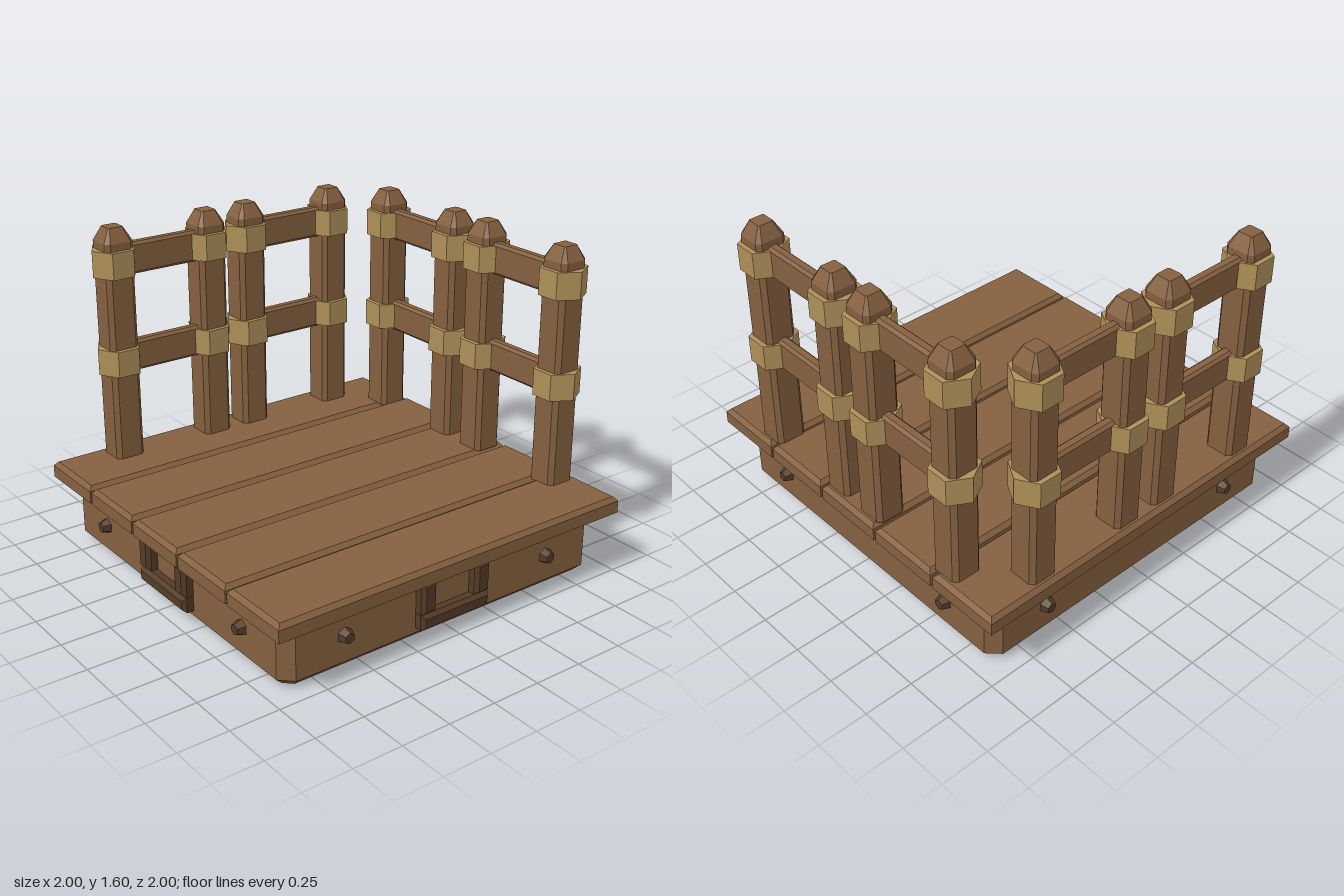
import * as THREE from 'three';

const wood = new THREE.MeshStandardMaterial({ color: 0x85603f });
wood.name = 'wood';
const darkWood = new THREE.MeshStandardMaterial({ color: 0x543a26 });
darkWood.name = 'darkWood';
const rope = new THREE.MeshStandardMaterial({ color: 0xae9058 });
rope.name = 'rope';

// Rectangle outline with corners cut by c, counter-clockwise from above
function outline(hx, hz, c) {
  if (!c) return [[hx, hz], [hx, -hz], [-hx, -hz], [-hx, hz]];
  return [[hx, hz - c], [hx, c - hz], [hx - c, -hz], [c - hx, -hz],
    [-hx, c - hz], [-hx, hz - c], [c - hx, hz], [hx - c, hz]];
}

// Closed flat-shaded solid through rings of [y, halfX, halfZ, cornerCut]
function loft(rings) {
  const loops = rings.map(([y, hx, hz, c]) => outline(hx, hz, c).map(([x, z]) => [x, y, z]));
  const n = loops[0].length;
  const pos = [];
  const tri = (a, b, c) => pos.push(...a, ...b, ...c);
  for (let r = 0; r < loops.length - 1; r++) {
    for (let i = 0; i < n; i++) {
      const j = (i + 1) % n;
      tri(loops[r][i], loops[r][j], loops[r + 1][j]);
      tri(loops[r][i], loops[r + 1][j], loops[r + 1][i]);
    }
  }
  const top = loops[loops.length - 1], bottom = loops[0];
  for (let i = 1; i < n - 1; i++) {
    tri(top[0], top[i], top[i + 1]);
    tri(bottom[0], bottom[i + 1], bottom[i]);
  }
  const g = new THREE.BufferGeometry();
  g.setAttribute('position', new THREE.Float32BufferAttribute(pos, 3));
  g.computeVertexNormals();
  return g;
}

// Flat-shaded six-sided cylinder
function hexagon(rTop, rBottom, h) {
  const g = new THREE.CylinderGeometry(rTop, rBottom, h, 6).toNonIndexed();
  g.computeVertexNormals();
  return g;
}

function add(parent, name, geometry, material, x = 0, y = 0, z = 0) {
  const mesh = new THREE.Mesh(geometry, material);
  mesh.name = name;
  mesh.position.set(x, y, z);
  parent.add(mesh);
  return mesh;
}

// Two railing panels along x, each with two posts and two rails
function makeFence(name) {
  const fence = new THREE.Group();
  fence.name = name;
  const post = loft([[0.395, 0.078, 0.078, 0.022], [1.53, 0.078, 0.078, 0.022], [1.6, 0.04, 0.04, 0.006]]);
  const band = hexagon(0.117, 0.117, 0.135).rotateY(Math.PI / 2);
  for (const [a, b] of [[-0.655, -0.125], [0.117, 0.648]]) {
    const half = (b - a) / 2;
    const rail = loft([[-half, 0.081, 0.03, 0.014], [half, 0.081, 0.03, 0.014]]).rotateZ(Math.PI / 2);
    for (const x of [a, b]) {
      add(fence, 'post', post, wood, x);
      for (const y of [0.918, 1.424]) add(fence, 'ropeBand', band, rope, x, y);
    }
    for (const y of [0.918, 1.424]) add(fence, 'rail', rail, wood, (a + b) / 2, y);
  }
  return fence;
}

// Raised block facing +z with a bevelled face
function block(w, h) {
  return loft([[0, w / 2, h / 2, 0], [0.04, w / 2, h / 2, 0],
    [0.06, w / 2 - 0.016, h / 2 - 0.016, 0]]).rotateX(Math.PI / 2);
}

export function createModel() {
  const model = new THREE.Group();
  model.name = 'railedPlatform';

  // Base with cut corners and a bevelled underside
  add(model, 'base', loft([[0, 0.88, 0.88, 0.04], [0.04, 0.92, 0.92, 0.06],
    [0.305, 0.92, 0.92, 0.06]]), wood);

  // Deck planks with bevelled top edges
  const plank = loft([[0.315, 0.194, 1, 0], [0.378, 0.194, 1, 0], [0.4, 0.174, 0.98, 0]]);
  for (let i = -2; i <= 2; i++) add(model, 'plank', plank, wood, i * 0.403);

  // Bolts on all sides, U-shaped brackets on the front and left
  const bolt = hexagon(0.027, 0.042, 0.045).rotateX(Math.PI / 2);
  const arm = block(0.085, 0.16);
  const bar = block(0.4, 0.076);
  for (let k = 0; k < 4; k++) {
    const side = new THREE.Group();
    side.name = ['frontFittings', 'leftFittings', 'backFittings', 'rightFittings'][k];
    side.rotation.y = k * Math.PI / 2;
    for (const s of [-1, 1]) {
      add(side, 'bolt', bolt, darkWood, s * 0.6, 0.175, 0.937);
      if (k < 2) add(side, 'bracketArm', arm, darkWood, s * 0.158, 0.224, 0.915);
    }
    if (k < 2) add(side, 'bracketBar', bar, darkWood, 0, 0.104, 0.915);
    model.add(side);
  }

  // Railings along the back and right edges
  const back = makeFence('backFence');
  back.position.z = -0.89;
  const right = makeFence('rightFence');
  right.rotation.y = -Math.PI / 2;
  right.position.x = -0.89;
  model.add(back, right);
  return model;
}
